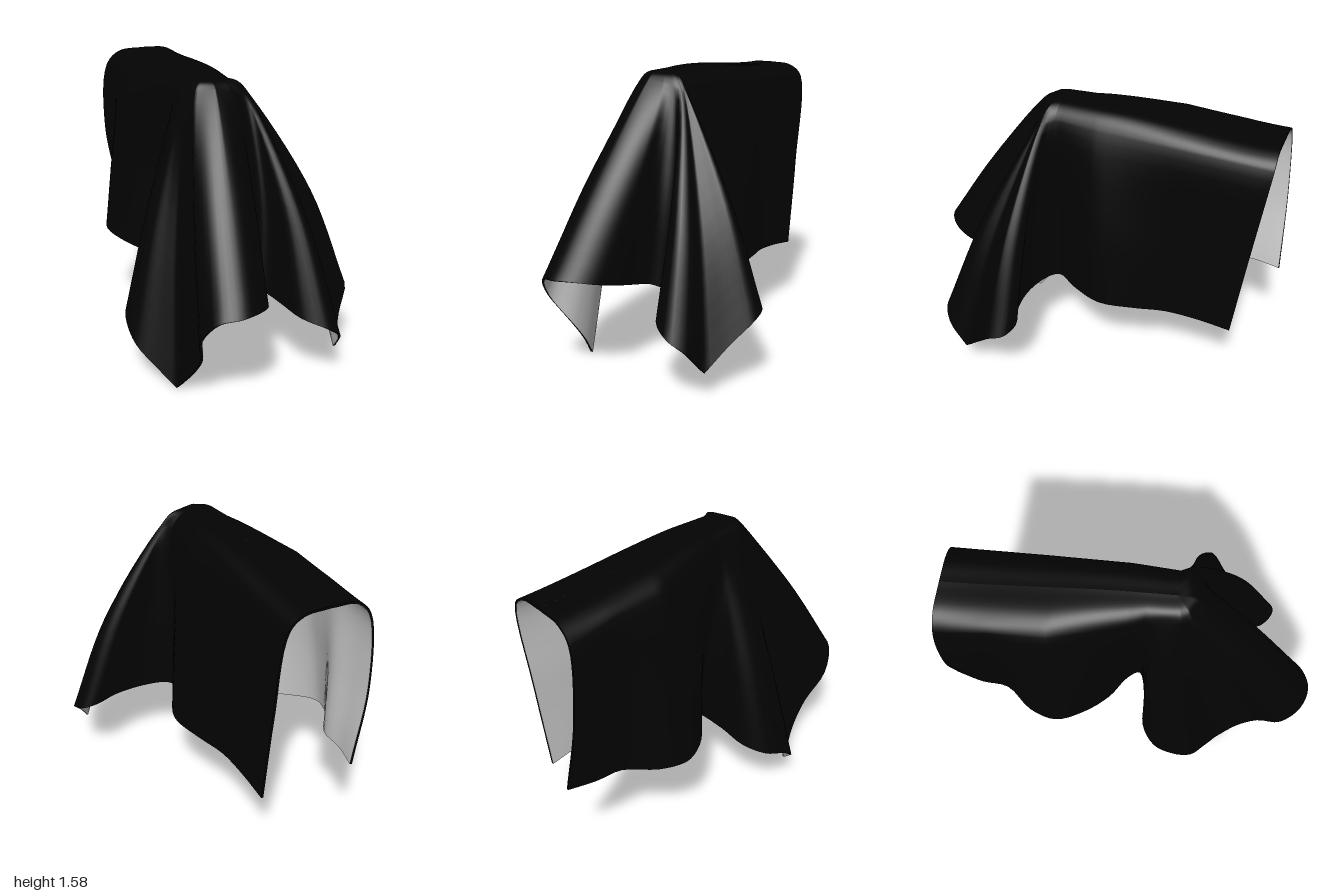
import * as THREE from 'three';

// Hem of the cloth: back right edge, around the front, to the back left edge
const HEM = [
  [-.385, .58, -1], [-.42, .58, -.85], [-.43, .575, -.7], [-.54, .57, -.55], [-.575, .56, -.4],
  [-.5, .53, -.25], [-.38, .5, -.12], [-.25, .47, -.04], [-.195, .44, .03], [-.33, .4, .075],
  [-.49, .37, .09], [-.59, .33, .17], [-.615, .29, .28], [-.59, .21, .39], [-.5, .1, .47],
  [-.41, 0, .54], [-.355, .14, .65], [-.34, .28, .76], [-.375, .46, .88], [-.31, .585, .97],
  [-.2, .61, 1], [-.1, .61, .96], [-.03, .59, .88], [0, .56, .77], [-.02, .51, .6],
  [0, .48, .48], [.1, .45, .455], [.16, .42, .54], [.22, .4, .71], [.35, .35, .78],
  [.435, .28, .73], [.46, .15, .62], [.53, .28, .5], [.61, .4, .39], [.59, .43, .3],
  [.51, .46, .26], [.37, .46, .31], [.2, .47, .31], [.08, .5, .24], [.045, .5, .19],
  [.11, .49, .08], [.18, .48, -.1], [.13, .46, -.3], [.07, .44, -.46], [.05, .42, -.65],
  [.04, .39, -.83],
];
const CORNERS = [0, 15, 31, 45];   // hem indices where the hem turns sharply

// Shoulder line where the cloth turns down: [hem index, x, y, z, outward bulge]
const SHOULDER = [
  [0, -.435, 1.42, -.96, .05], [2, -.415, 1.46, -.7, .02], [4, -.405, 1.48, -.4, .02],
  [7, -.3, 1.5, -.02, .02], [9, -.27, 1.5, .07, .02], [12, -.26, 1.5, .18, .02],
  [15, -.25, 1.51, .24, .03], [18, -.22, 1.53, .29, .03], [20, -.13, 1.545, .33, .02],
  [23, -.04, 1.53, .31, .03], [25, .01, 1.51, .3, .05], [29, .06, 1.49, .29, .05],
  [33, .085, 1.48, .27, .055], [37, .055, 1.49, .23, .02], [39, .035, 1.5, .2, 0],
  [41, .045, 1.49, -.04, .03], [43, .035, 1.47, -.45, .01], [45, .02, 1.44, -.96, .01],
];

const STEPS = 4, COLS = 28, THICKNESS = 0.012;

function shoulderAt(i) {
  let n = 0;
  while (n < SHOULDER.length - 2 && SHOULDER[n + 1][0] <= i) n++;
  const a = SHOULDER[n], b = SHOULDER[n + 1];
  const t = (i - a[0]) / (b[0] - a[0]);
  return [1, 2, 3, 4].map(c => THREE.MathUtils.lerp(a[c], b[c], t));
}

// Point on the ridge along the top
function ridgeAt(z) {
  z = THREE.MathUtils.clamp(z, -.96, .2);
  return new THREE.Vector3(-.2 + .07 * (z + .96) / 1.16,
    1.515 + .067 * THREE.MathUtils.smoothstep(z, -.96, 0), z);
}

// Hem points, smooth between the sharp corners
function hemPoints() {
  const points = [];
  for (let c = 0; c < CORNERS.length - 1; c++) {
    const part = HEM.slice(CORNERS[c], CORNERS[c + 1] + 1).map(p => new THREE.Vector3(...p));
    const smooth = new THREE.CatmullRomCurve3(part);
    const count = (part.length - 1) * STEPS;
    for (let k = c ? 1 : 0; k <= count; k++) points.push(smooth.getPoint(k / count));
  }
  return points;
}

// One strand of cloth from the ridge, over the shoulder, down to the hem
function strand(hem, i) {
  const [x, y, z, bulge] = shoulderAt(i);
  const ridge = ridgeAt(z), shoulder = new THREE.Vector3(x, y, z);
  const top = ridge.clone().lerp(shoulder, .65);
  top.y = THREE.MathUtils.lerp(ridge.y, y, .15);
  const out = shoulder.clone().sub(ridge).setY(0).normalize().setY(.4);
  const middle = shoulder.clone().lerp(hem, .5).addScaledVector(out, bulge);
  return new THREE.CatmullRomCurve3([ridge, top, shoulder, middle, hem]).getPoints(COLS);
}

// Smooth surface through a grid of points
function gridGeometry(rows) {
  const w = rows[0].length, index = [];
  for (let i = 0; i < rows.length - 1; i++) {
    for (let j = 0; j < w - 1; j++) {
      const a = i * w + j, b = a + w;
      index.push(a, a + 1, b, a + 1, b + 1, b);
    }
  }
  const geometry = new THREE.BufferGeometry().setFromPoints(rows.flat());
  geometry.setIndex(index);
  geometry.computeVertexNormals();
  return geometry;
}

export function createModel() {
  const group = new THREE.Group();
  group.name = 'drapedCloth';
  const add = (name, geometry, color, side) => {
    const mesh = new THREE.Mesh(geometry, new THREE.MeshStandardMaterial({ color, side }));
    mesh.name = name;
    group.add(mesh);
  };

  // Outer face
  const outer = hemPoints().map((hem, r) => strand(hem, r / STEPS));
  const outerGeometry = gridGeometry(outer);
  add('clothOutside', outerGeometry, 0x030303, THREE.FrontSide);

  // Lining, set in by the thickness of the cloth
  const normals = outerGeometry.attributes.normal;
  const inner = outer.map((row, i) => row.map((p, j) => {
    const n = new THREE.Vector3().fromBufferAttribute(normals, i * (COLS + 1) + j);
    return p.clone().addScaledVector(n, -THICKNESS);
  }));
  add('clothLining', gridGeometry(inner), 0xcccccc, THREE.BackSide);

  // Rim closing the hem and the two back edges
  const border = rows => [...rows[0], ...rows.map(r => r[COLS]), ...[...rows.at(-1)].reverse()];
  const innerBorder = border(inner);
  const rim = border(outer).map((p, i) => [p, innerBorder[i]]);
  add('clothRim', gridGeometry(rim), 0x030303, THREE.DoubleSide);

  return group;
}
